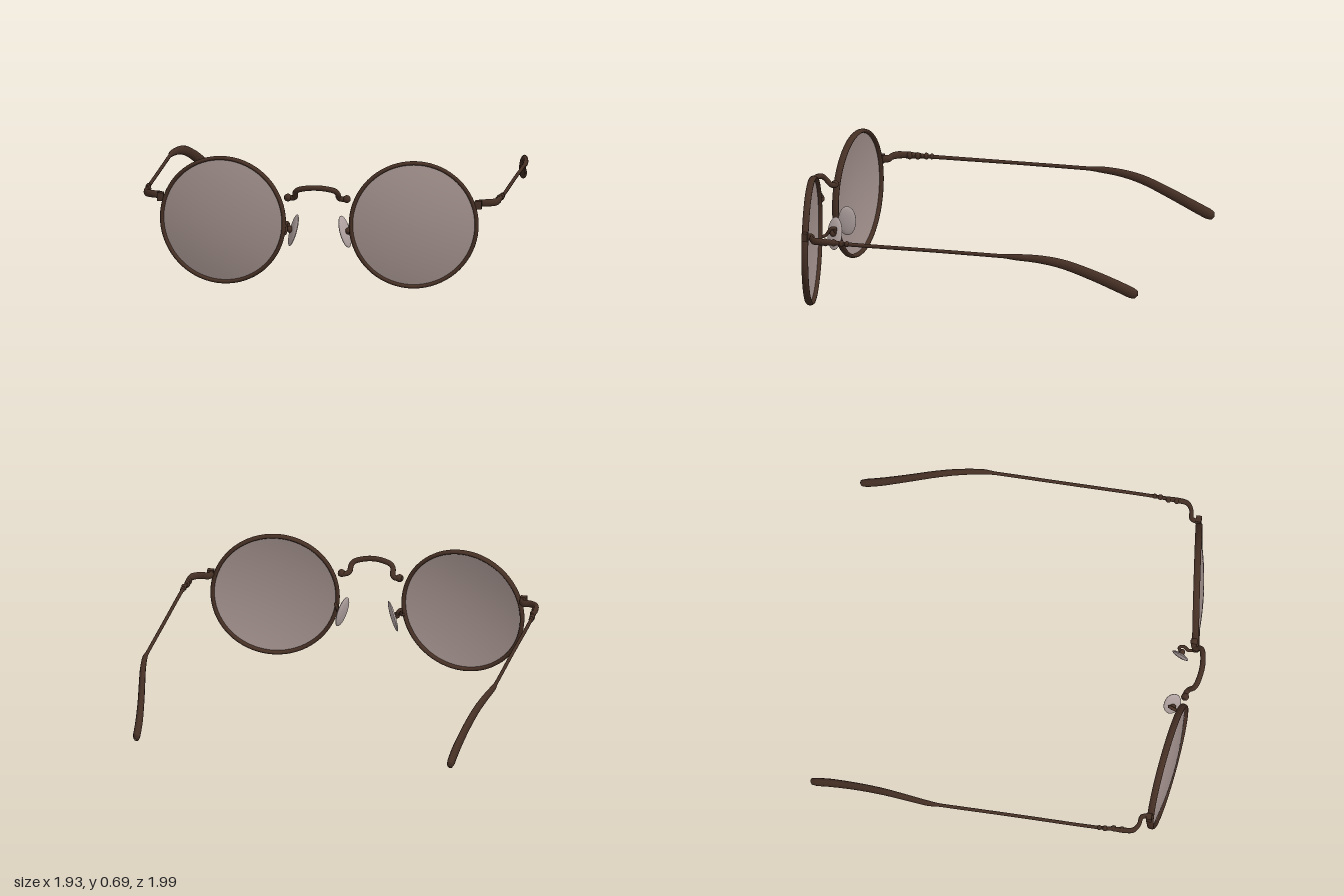
import * as THREE from 'three';

const frameMat = new THREE.MeshStandardMaterial({ color: 0x452f24 });
frameMat.name = 'dark brown frame';
const lensMat = new THREE.MeshStandardMaterial({ color: 0xa08f8b, side: THREE.DoubleSide });
lensMat.name = 'tinted lens';
const padMat = new THREE.MeshStandardMaterial({ color: 0xb3a5a3 });
padMat.name = 'pale nose pad';

function add(parent, name, geometry, material) {
  const mesh = new THREE.Mesh(geometry, material);
  mesh.name = name;
  parent.add(mesh);
  return mesh;
}

// Path through points; sx mirrors it to the other side
const path = (pts, sx = 1) =>
  new THREE.CatmullRomCurve3(pts.map(p => new THREE.Vector3(p[0] * sx, p[1], p[2])), false, 'centripetal');

// Sweep of an elliptical section; stations are [x, y, z, halfWidth, halfHeight]
function sweep(stations, sx, steps = 6, sides = 12) {
  const curve = path(stations, sx);
  const rings = (stations.length - 1) * steps;
  const up = new THREE.Vector3(0, 1, 0);
  const pos = [], index = [];
  for (let i = 0; i <= rings; i++) {
    const k = Math.min(Math.floor(i / steps), stations.length - 2);
    const f = i / steps - k;
    const w = THREE.MathUtils.lerp(stations[k][3], stations[k + 1][3], f);
    const h = THREE.MathUtils.lerp(stations[k][4], stations[k + 1][4], f);
    const c = curve.getPoint(i / rings), t = curve.getTangent(i / rings);
    const side = new THREE.Vector3().crossVectors(up, t).normalize();
    const n = new THREE.Vector3().crossVectors(t, side);
    for (let j = 0; j < sides; j++) {
      const a = (j / sides) * Math.PI * 2;
      const p = c.clone().addScaledVector(side, w * Math.cos(a)).addScaledVector(n, h * Math.sin(a));
      pos.push(p.x, p.y, p.z);
      if (i < rings) {
        const j2 = (j + 1) % sides, r = i * sides, q = r + sides;
        index.push(r + j, r + j2, q + j, r + j2, q + j2, q + j);
      }
    }
  }
  const g = new THREE.BufferGeometry();
  g.setAttribute('position', new THREE.Float32BufferAttribute(pos, 3));
  g.setIndex(index);
  g.computeVertexNormals();
  return g;
}

function createSide(s) {
  const side = new THREE.Group();
  side.name = s > 0 ? 'leftSide' : 'rightSide';

  // Round rim and domed lens, wrapped slightly back at the outer edge
  const eye = new THREE.Group();
  eye.name = 'eyepiece';
  eye.position.set(s * 0.512, 0.347, 0.878);
  eye.rotation.y = s * 0.125;
  side.add(eye);
  const rim = new THREE.TorusGeometry(0.335, 0.011, 10, 72);
  rim.scale(1, 1, 1.7);
  add(eye, 'rim', rim, frameMat);
  const profile = [];
  for (let i = 0; i <= 10; i++) {
    const r = 0.333 * (1 - i / 10);
    profile.push(new THREE.Vector2(r, 0.036 * (1 - (r / 0.333) ** 2)));
  }
  add(eye, 'lens', new THREE.LatheGeometry(profile, 64).rotateX(Math.PI / 2), lensMat);

  // End piece curling from the rim round to the hinge
  const block = add(side, 'rimLug', new THREE.BoxGeometry(0.035, 0.045, 0.03), frameMat);
  block.position.set(s * 0.853, 0.455, 0.832);
  add(side, 'endPiece', sweep([
    [0.845, 0.455, 0.835, 0.001, 0.001], [0.845, 0.455, 0.825, 0.012, 0.02],
    [0.855, 0.456, 0.793, 0.012, 0.02], [0.9, 0.458, 0.785, 0.011, 0.02],
    [0.936, 0.458, 0.76, 0.013, 0.02], [0.945, 0.458, 0.71, 0.014, 0.018],
    [0.945, 0.458, 0.64, 0.011, 0.015], [0.945, 0.458, 0.635, 0.001, 0.001],
  ], s), frameMat);

  // Hinge knuckles
  for (const [x, z, r] of [[0.942, 0.7, 0.017], [0.942, 0.655, 0.016], [0.949, 0.61, 0.015], [0.95, 0.58, 0.013]]) {
    const knuckle = add(side, 'hingeKnuckle', new THREE.SphereGeometry(r, 14, 10), frameMat);
    knuckle.scale.y = 1.25;
    knuckle.position.set(s * x, 0.457, z);
  }

  // Thin temple arm swelling into the bent ear tip
  add(side, 'templeArm', sweep([
    [0.946, 0.457, 0.66, 0.001, 0.001], [0.947, 0.457, 0.64, 0.01, 0.013],
    [0.95, 0.455, 0.55, 0.009, 0.011], [0.95, 0.45, 0.1, 0.009, 0.01],
    [0.951, 0.444, -0.28, 0.009, 0.011], [0.95, 0.443, -0.34, 0.014, 0.017],
    [0.932, 0.434, -0.47, 0.016, 0.022], [0.91, 0.41, -0.59, 0.017, 0.026],
    [0.883, 0.355, -0.74, 0.018, 0.029], [0.863, 0.295, -0.88, 0.02, 0.031],
    [0.857, 0.262, -0.955, 0.02, 0.031], [0.855, 0.252, -0.982, 0.016, 0.024],
    [0.855, 0.248, -0.992, 0.001, 0.001],
  ], s), frameMat);

  // Nose pad on its wire bracket
  const pad = add(side, 'nosePad', new THREE.SphereGeometry(1, 24, 16), padMat);
  pad.scale.set(0.013, 0.088, 0.048);
  pad.position.set(s * 0.138, 0.293, 0.845);
  pad.rotation.set(0, -s * 0.4, s * 0.27, 'ZYX');
  add(side, 'padWire', new THREE.TubeGeometry(path([
    [0.185, 0.28, 0.912], [0.175, 0.29, 0.885], [0.178, 0.33, 0.855],
    [0.17, 0.33, 0.835], [0.158, 0.3, 0.842], [0.145, 0.295, 0.845],
  ], s), 28, 0.009, 8), frameMat);
  const mount = add(side, 'padMount', new THREE.SphereGeometry(0.018, 14, 10), frameMat);
  mount.position.set(s * 0.157, 0.298, 0.85);

  // Solder foot joining the bridge to the rim
  const foot = add(side, 'bridgeFoot', new THREE.SphereGeometry(0.021, 16, 12), frameMat);
  foot.position.set(s * 0.158, 0.485, 0.917);
  return side;
}

export function createModel() {
  const model = new THREE.Group();
  model.name = 'roundGlasses';
  model.add(createSide(1), createSide(-1));

  // Raised bridge, stepping forward and up from both rims
  const half = [[0.175, 0.485, 0.913], [0.135, 0.484, 0.918], [0.118, 0.492, 0.93],
    [0.114, 0.52, 0.955], [0.1, 0.537, 0.968], [0.055, 0.55, 0.98]];
  const mirrored = half.map(([x, y, z]) => [-x, y, z]).reverse();
  const bridge = path([...half, [0, 0.555, 0.985], ...mirrored]);
  add(model, 'bridge', new THREE.TubeGeometry(bridge, 80, 0.0145, 10), frameMat);
  return model;
}
